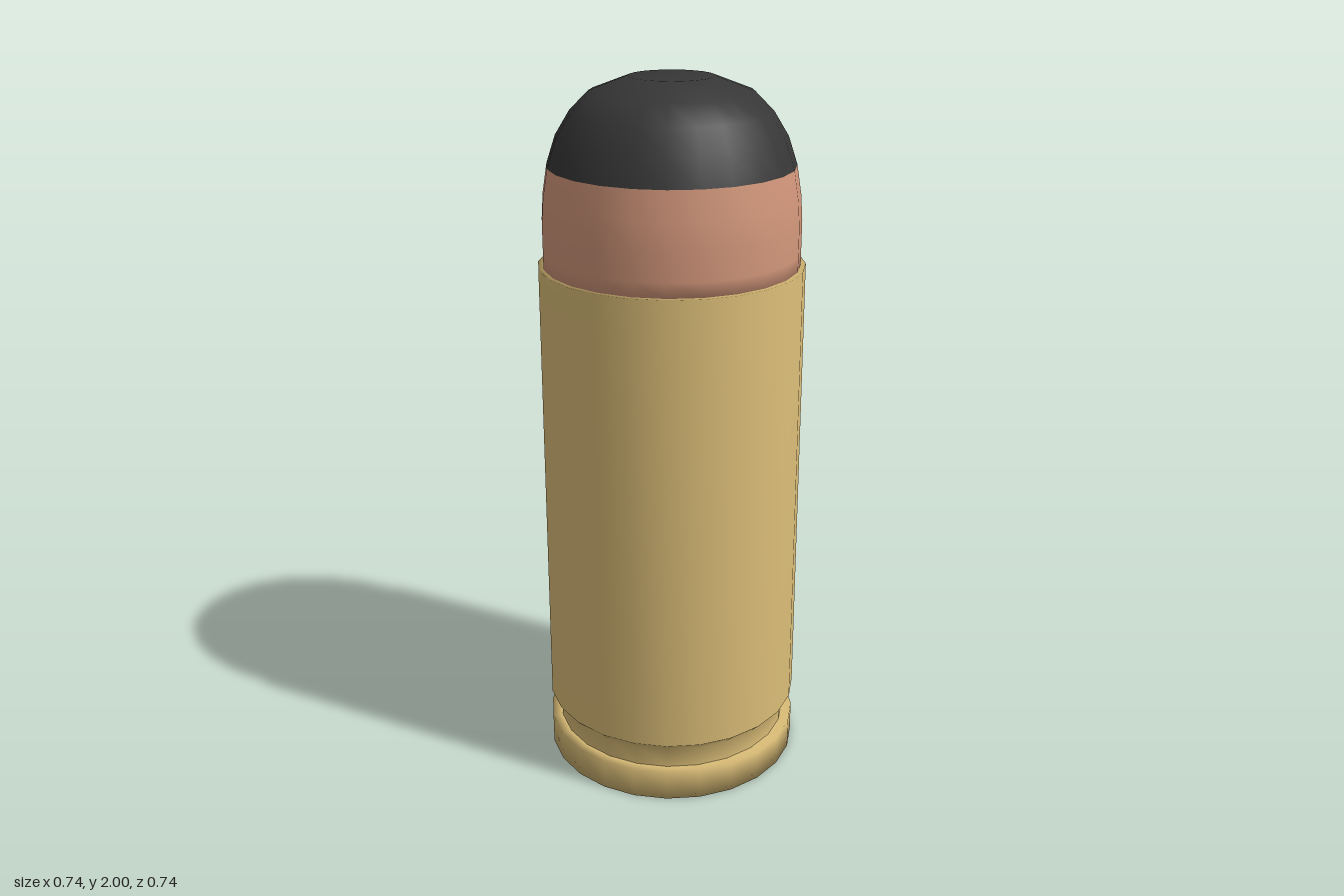
import * as THREE from 'three';

const SIDES = 24;

const material = (name, color) => {
  const m = new THREE.MeshStandardMaterial({ color });
  m.name = name;
  return m;
};

// Turned part: profile of [radius, height] points from bottom to top
function turned(name, mat, profile) {
  const points = profile.map(([r, y]) => new THREE.Vector2(r, y));
  const mesh = new THREE.Mesh(new THREE.LatheGeometry(points, SIDES), mat);
  mesh.name = name;
  return mesh;
}

export function createModel() {
  const brass = material('brass', 0xdcbe78);
  const copper = material('copper', 0xd3977b);
  const black = material('black', 0x363636);

  const group = new THREE.Group();
  group.name = 'cartridge';
  group.add(
    // Base disc and flange
    turned('rim', brass, [[0, 0], [0.372, 0], [0.372, 0.09], [0.342, 0.09]]),
    // Recess between the rim and the wall
    turned('extractorGroove', brass, [[0.342, 0.09], [0.342, 0.15], [0.372, 0.18]]),
    // Slightly tapered wall with a thin lip at the mouth
    turned('caseWall', brass, [[0.345, 0.155], [0.372, 0.18], [0.367, 1.5], [0.335, 1.5]]),
    // Jacket seated in the mouth
    turned('jacket', copper, [
      [0.32, 1.48], [0.353, 1.5], [0.353, 1.54], [0.353, 1.62], [0.348, 1.69], [0.335, 1.77],
    ]),
    // Rounded nose with a small flat end
    turned('tip', black, [
      [0.335, 1.77], [0.31, 1.845], [0.27, 1.91], [0.22, 1.96], [0.115, 2], [0, 2],
    ]),
  );
  return group;
}
